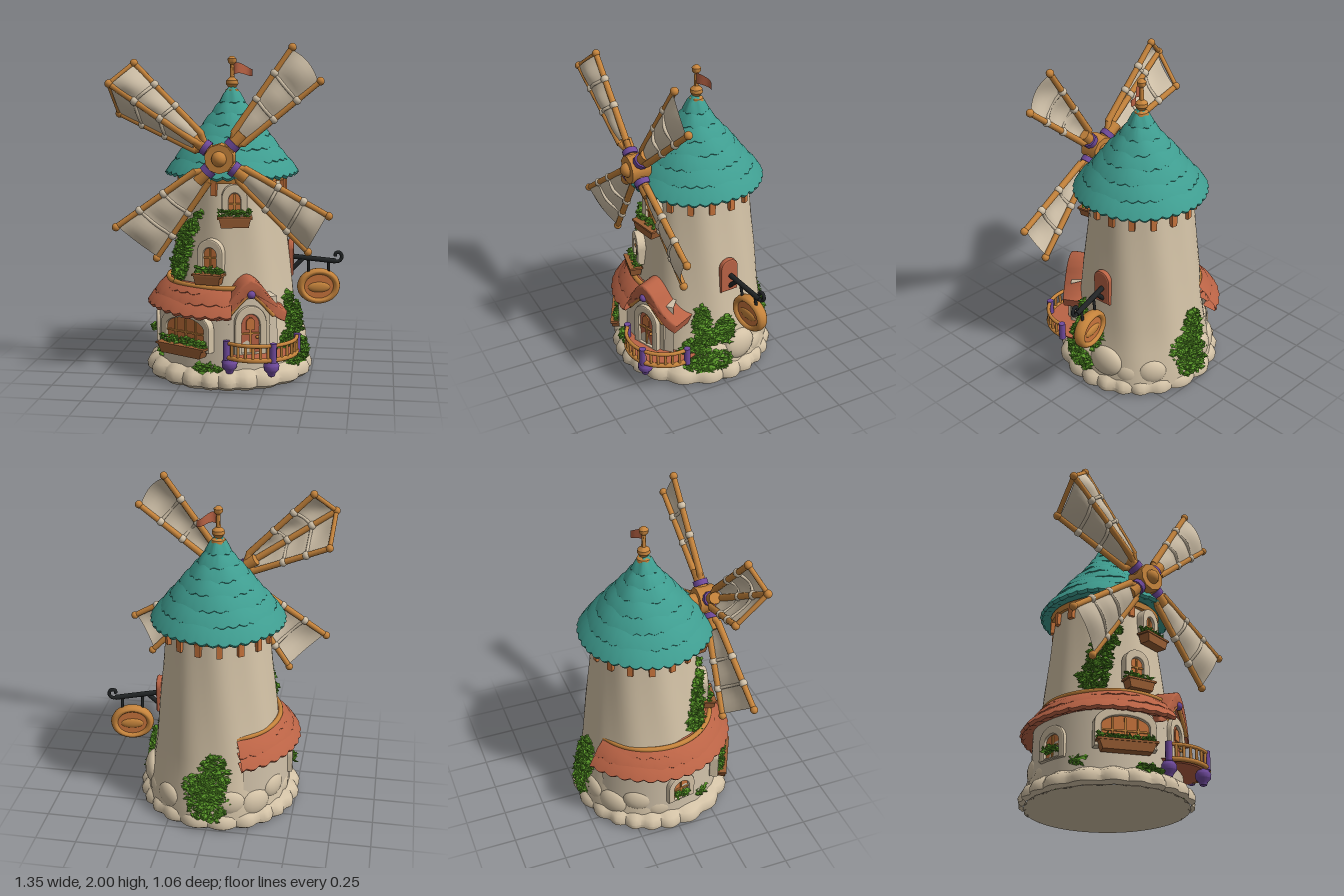
import * as THREE from 'three';
import { mergeGeometries, toCreasedNormals } from 'three/addons/utils/BufferGeometryUtils.js';

const V = (x, y, z) => new THREE.Vector3(x, y, z);
const RAD = Math.PI / 180;

export function createModel() {
  const root = new THREE.Group();
  root.name = 'windmill';
  const mat = (name, color, double) => {
    const m = new THREE.MeshStandardMaterial({ color });
    m.name = name;
    if (double) m.side = THREE.DoubleSide;
    return m;
  };
  const cream = mat('cream plaster', 0xd3c2a6), canvas = mat('canvas', 0xcfc0a8, true);
  const teal = mat('teal shingles', 0x3f9d90), rust = mat('rust tiles', 0xba6345, true);
  const wood = mat('wood', 0xc6843c), brown = mat('brown wood', 0x9c5f34);
  const purple = mat('purple paint', 0x6f4a9c), green = mat('leaves', 0x579427);
  const iron = mat('black iron', 0x202324), amber = mat('amber glass', 0xc8743c);

  let seed = 7;
  const rnd = () => (seed = (seed * 16807) % 2147483647) / 2147483647;

  const add = (name, geo, material, parent = root, x = 0, y = 0, z = 0) => {
    const m = new THREE.Mesh(geo, material);
    m.name = name;
    m.position.set(x, y, z);
    parent.add(m);
    return m;
  };
  const rod = (name, a, b, r, material, parent = root, r2 = r) => {
    const d = b.clone().sub(a);
    const m = add(name, new THREE.CylinderGeometry(r2, r, d.length(), 10), material, parent);
    m.position.copy(a).addScaledVector(d, 0.5);
    m.quaternion.setFromUnitVectors(V(0, 1, 0), d.normalize());
    return m;
  };
  const ball = (name, p, r, material, parent = root) =>
    add(name, new THREE.SphereGeometry(r, 14, 10), material, parent, p.x, p.y, p.z);
  const tube = (name, pts, r, material, parent = root) =>
    add(name, new THREE.TubeGeometry(new THREE.CatmullRomCurve3(pts), 50, r, 8), material, parent);
  // group on the tower wall, with local +z pointing outwards
  const onWall = (name, deg, r, y) => {
    const g = new THREE.Group(), t = deg * RAD;
    g.name = name;
    g.position.set(Math.sin(t) * r, y, -0.05 + Math.cos(t) * r);
    g.rotation.y = t;
    root.add(g);
    return g;
  };
  // lathe whose vertices are moved by rule(theta, r, y) -> [r, y]
  const lathe = (pts, segs, rule, from = 0, len = 360, crease = 0.7) => {
    const g = new THREE.LatheGeometry(pts.map(p => new THREE.Vector2(...p)), segs, from * RAD, len * RAD);
    const p = g.attributes.position;
    if (rule) for (let i = 0; i < p.count; i++) {
      const x = p.getX(i), z = p.getZ(i), t = Math.atan2(x, z);
      const [r, y] = rule(t, Math.hypot(x, z), p.getY(i));
      p.setXYZ(i, Math.sin(t) * r, y, Math.cos(t) * r);
    }
    return toCreasedNormals(g, crease);
  };

  // tower wall
  const wall = [[0.45, 0.05], [0.44, 0.14], [0.408, 0.28], [0.385, 0.44], [0.36, 0.7], [0.33, 0.95], [0.305, 1.22]];
  const wallR = y => {
    for (let i = 1; i < wall.length; i++) if (y < wall[i][1]) {
      const [r0, y0] = wall[i - 1], [r1, y1] = wall[i];
      return r0 + (r1 - r0) * Math.max(0, (y - y0) / (y1 - y0));
    }
    return 0.305;
  };
  add('tower', lathe([...wall, [0, 1.22]], 64, (t, r, y) => [r + 0.004 * Math.sin(9 * t + 3 * y), y]), cream, root, 0, 0, -0.05);

  // lumpy stone footing, flat underside and boulders
  add('stoneFooting', lathe([[0.47, 0], [0.495, 0.02], [0.498, 0.05], [0.48, 0.085], [0.43, 0.115], [0, 0.115]], 120,
    (t, r, y) => [r > 0.4 ? r - 0.012 + 0.026 * Math.abs(Math.sin(11 * t + Math.sin(3 * t))) : r, y]), cream, root, -0.01, 0, -0.014);
  add('footingBase', new THREE.CircleGeometry(0.478, 60).rotateX(Math.PI / 2), cream, root, -0.01, 0.001, -0.014);
  [[78, 0.16, 0.1], [102, 0.19, 0.11], [122, 0.13, 0.08], [143, 0.15, 0.09], [200, 0.17, 0.09], [222, 0.14, 0.1],
    [244, 0.2, 0.09], [264, 0.13, 0.09], [285, 0.17, 0.08], [305, 0.11, 0.08]].forEach(([a, y, r]) => {
    const b = add('boulder', new THREE.SphereGeometry(r, 16, 12), cream, onWall('boulders', a, 0.405, y));
    b.scale.set(1.05, 0.95, 0.55);
  });

  // tiles: overlapping rings with scalloped lower edges
  const tiles = (name, rows, count, material, from, len, z) => {
    for (let i = 0; i < rows.length - 1; i++) {
      const [r, y] = rows[i], [r2, y2] = rows[i + 1], n = Math.max(10, Math.round(count * r));
      const g = lathe([[Math.max(r2 - 0.03, 0.01), y + 0.004], [r - 0.008, y - 0.012], [r + 0.004, y + 0.004],
        [(r + r2) / 2 + 0.006, (y + y2) / 2 + 0.008], [Math.max(r2 - 0.01, 0.01), y2 + 0.012]], n * 6,
      (t, q, h) => {
        const edge = q > r - 0.01 ? Math.abs(Math.sin((t * n) / 2 + i)) : 0;
        return [q + 0.009 * edge, h - 0.012 * edge + 0.004 * Math.sin(5 * t + i * 2)];
      }, from, len, 0.8);
      add(name, g, material, root, 0, 0, z);
    }
  };
  tiles('roofTiles', [[0.395, 1.235], [0.335, 1.315], [0.278, 1.385], [0.222, 1.455], [0.168, 1.52], [0.115, 1.585], [0.07, 1.65], [0.025, 1.73]],
    95, teal, 0, 360, -0.04);
  add('eavesRing', new THREE.CylinderGeometry(0.335, 0.33, 0.035, 48), wood, root, 0, 1.205, -0.05);
  for (let i = 0; i < 16; i++)
    add('eavesBracket', new THREE.BoxGeometry(0.035, 0.08, 0.04), amber, onWall('eavesBrackets', i * 22.5 + 11, 0.315, 1.155));

  // finial and flag
  add('finial', lathe([[0.045, 1.69], [0.04, 1.72], [0.02, 1.73], [0.038, 1.755], [0.036, 1.775], [0.014, 1.795], [0.012, 1.87],
    [0.026, 1.885], [0.027, 1.905], [0.012, 1.92], [0, 1.922]], 20), wood, root, 0, 0, -0.045);
  const flagGeo = new THREE.PlaneGeometry(1, 1, 10, 2), fp = flagGeo.attributes.position;
  for (let i = 0; i < fp.count; i++) {
    const u = fp.getX(i) + 0.5;
    fp.setXYZ(i, u * 0.12, 1.842 + fp.getY(i) * 0.075 * (1 - 0.45 * u) + 0.01 * Math.sin(u * 5) - 0.012 * u * u, -0.045 + 0.016 * Math.sin(u * 6) - 0.03 * u);
  }
  flagGeo.computeVertexNormals();
  add('flag', flagGeo, rust);

  // ground-floor bay with its skirt roof
  add('bayWall', lathe([[0.445, 0.06], [0.435, 0.3], [0.43, 0.53], [0.3, 0.56]], 60, null, -152, 200), canvas, root, -0.01, 0, -0.02);
  tiles('skirtTiles', [[0.505, 0.445], [0.46, 0.5], [0.42, 0.55], [0.37, 0.585]], 75, rust, -155, 163, -0.02);
  const trim = [];
  for (let a = -155; a <= 34; a += 13.5) trim.push(V(Math.sin(a * RAD) * 0.385, 0.585, -0.02 + Math.cos(a * RAD) * 0.385));
  tube('skirtTrim', trim, 0.016, wood);

  // arched openings
  const arch = (w, h, top, S = THREE.Shape) => {
    const s = new S();
    s.moveTo(-w / 2, 0);
    s.lineTo(w / 2, 0);
    s.lineTo(w / 2, h - top);
    s.absellipse(0, h - top, w / 2, top, 0, Math.PI, false, 0);
    s.lineTo(-w / 2, 0);
    return s;
  };
  const extrude = (shape, depth, bevel = 0) => new THREE.ExtrudeGeometry(shape, {
    depth, curveSegments: 14, bevelEnabled: bevel > 0, bevelSize: bevel, bevelThickness: bevel, bevelSegments: 2 });
  const opening = (g, w, h, top, pane, bars) => {
    const s = arch(w + 0.05, h + 0.035, top + 0.025);
    s.holes.push(arch(w, h, top, THREE.Path));
    add('frame', extrude(s, 0.04, 0.008), cream, g, 0, 0, -0.02);
    add('pane', extrude(arch(w, h, top), 0.008), pane, g, 0, 0, 0.002);
    for (let i = 1; i <= bars; i++)
      add('mullion', new THREE.BoxGeometry(0.01, h * 0.9, 0.014), wood, g, -w / 2 + (w * i) / (bars + 1), h * 0.45, 0.012);
    add('crossBar', new THREE.BoxGeometry(w, 0.01, 0.014), wood, g, 0, h * 0.5, 0.012);
  };
  // leaves scattered by where()
  const leaves = (name, parent, count, where, size) => {
    const list = [];
    for (let i = 0; i < count; i++) {
      const g = new THREE.OctahedronGeometry(size * (0.6 + 0.6 * rnd()));
      g.scale(1, 0.35, 0.7).rotateX(rnd() * 6).rotateY(rnd() * 6);
      const p = where();
      list.push(g.translate(p.x, p.y, p.z));
    }
    return add(name, mergeGeometries(list), green, parent);
  };
  const planter = (g, w, y) => {
    const box = new THREE.CylinderGeometry(0.7071, 0.6, 1, 4, 1).rotateY(Math.PI / 4);
    add('planter', toCreasedNormals(box, 0.3), brown, g, 0, y, 0.04).scale.set(w, 0.06, 0.075);
    add('planterRim', new THREE.BoxGeometry(w + 0.015, 0.012, 0.082), brown, g, 0, y + 0.026, 0.04);
  };
  [['upperWindow', 10, 0.33, 1.0, 0.085, 0.145, 0.05, 1, 0.19, -0.03], ['middleWindow', -12, 0.368, 0.69, 0.095, 0.135, 0.05, 1, 0.17, -0.055],
    ['bayWindow', -27, 0.465, 0.225, 0.29, 0.19, 0.07, 3, 0.33, -0.005], ['sideWindow', -80, 0.44, 0.2, 0.12, 0.15, 0.06, 1, 0.1, 0]]
    .forEach(([name, a, r, y, w, h, top, bars, pw, py]) => {
      const g = onWall(name, a, r, y);
      opening(g, w, h, top, amber, bars);
      if (py) planter(g, pw, py);
      leaves('windowLeaves', g, Math.round(pw * 420), () => V((rnd() - 0.5) * pw, py + 0.03 + rnd() * 0.04, 0.01 + rnd() * 0.045), 0.02);
    });

  // porch with curved gable and door
  const porch = onWall('porch', 21, 0, 0);
  const hood = new THREE.Shape();
  hood.moveTo(-0.2, 0.47);
  hood.bezierCurveTo(-0.1, 0.485, -0.08, 0.63, 0, 0.645);
  hood.bezierCurveTo(0.08, 0.63, 0.11, 0.5, 0.22, 0.44);
  hood.lineTo(0.21, 0.4);
  hood.bezierCurveTo(0.11, 0.44, 0.07, 0.56, 0, 0.585);
  hood.bezierCurveTo(-0.07, 0.56, -0.1, 0.44, -0.19, 0.425);
  // the hood leans back towards its ridge and pulls in at the sides
  const hoodGeo = extrude(hood, 0.19, 0.01), hp = hoodGeo.attributes.position;
  for (let i = 0; i < hp.count; i++) {
    const x = hp.getX(i), front = Math.max(0, hp.getZ(i)) / 0.2;
    hp.setZ(i, hp.getZ(i) - 0.9 * x * x * front);
    hp.setY(i, hp.getY(i) - 0.02 * front + 0.012);
  }
  add('porchRoof', toCreasedNormals(hoodGeo, 0.8), rust, porch, 0, 0, 0.29);
  add('porchWall', extrude(arch(0.25, 0.45, 0.2), 0.15), cream, porch, 0, 0.12, 0.295);
  [-1, 1].forEach(s =>
    tube('gableBoard', [V(s * 0.14, 0.425, 0.465), V(s * 0.075, 0.5, 0.472), V(0, 0.572, 0.478)], 0.012, wood, porch));
  ball('gableBoss', V(0, 0.562, 0.483), 0.025, purple, porch);
  const door = onWall('door', 21, 0.45, 0.205);
  opening(door, 0.125, 0.245, 0.075, rust, 1);
  add('doorLight', extrude(arch(0.05, 0.07, 0.025), 0.008), amber, door, 0, 0.145, 0.014);
  ball('doorKnob', V(0.04, 0.1, 0.02), 0.01, wood, door);

  // balcony
  const balcony = new THREE.Group();
  balcony.name = 'balcony';
  balcony.position.set(0.19, 0, 0.27);
  root.add(balcony);
  add('deck', new THREE.CylinderGeometry(0.235, 0.22, 0.022, 40), rust, balcony, 0, 0.195, 0);
  const ringAt = (t, y) => V(Math.sin(t * RAD) * 0.24, y, Math.cos(t * RAD) * 0.24);
  [['lowerRail', 0.2, 0.015], ['handRail', 0.285, 0.012]].forEach(([name, y, r]) =>
    tube(name, [-40, -18, 5, 28, 51, 75, 98].map(t => ringAt(t, y)), r, wood, balcony));
  for (let t = -30; t <= 92; t += 10.5) rod('baluster', ringAt(t, 0.2), ringAt(t, 0.28), 0.009, wood, balcony);
  [-40, 30, 98].forEach((t, i) => {
    rod('balconyPost', ringAt(t, 0.185), ringAt(t, 0.298), 0.021, purple, balcony);
    if (i < 2) {
      const p = ringAt(t, 0).multiplyScalar(0.9);
      add('balconyCorbel', lathe([[0, 0.09], [0.02, 0.1], [0.024, 0.115], [0.044, 0.138], [0.046, 0.165], [0.03, 0.19]], 16), purple, balcony, p.x, 0, p.z);
    }
  });

  // ivy patches: angle, height, angular half-width, half-height, leaf count, extra radius
  [[-51, 0.68, 13, 0.1, 210, 0.01], [-45, 0.82, 11, 0.12, 200, 0.01], [-36, 0.92, 8, 0.05, 60, 0.01], [-28, 1.0, 4, 0.025, 20, 0.01],
    [62, 0.19, 13, 0.11, 280, 0.01], [67, 0.4, 7, 0.12, 180, 0.01], [75, 0.31, 9, 0.06, 120, 0.01], [88, 0.34, 9, 0.09, 180, 0.005],
    [78, 0.15, 13, 0.07, 190, 0.015], [181, 0.18, 17, 0.11, 340, -0.002], [186, 0.36, 13, 0.14, 280, 0], [172, 0.27, 12, 0.1, 160, 0],
    [-10, 0.12, 9, 0.025, 60, 0.04], [-60, 0.16, 7, 0.03, 30, 0.015]].forEach(([a, y, da, dy, n, out]) =>
    leaves('ivy', root, n, () => {
      const q = Math.sqrt(rnd()), f = rnd() * 6.283, h = y + q * Math.sin(f) * dy;
      const t = (a + q * Math.cos(f) * da) * RAD, r = wallR(h) + out + (rnd() - 0.35) * 0.03;
      return V(Math.sin(t) * r, h, -0.05 + Math.cos(t) * r);
    }, 0.026));

  // hanging sign on the left wall
  const plaque = onWall('signPlaque', 94, 0.355, 0.6);
  add('plaque', extrude(arch(0.1, 0.2, 0.05), 0.015, 0.01), rust, plaque);
  const sign = new THREE.Group();
  sign.name = 'hangingSign';
  sign.position.set(0.36, 0, -0.08);
  sign.rotation.y = 11 * RAD;
  root.add(sign);
  rod('signArm', V(0, 0.7, 0), V(0.28, 0.665, 0), 0.016, iron, sign);
  rod('signBrace', V(0, 0.61, 0), V(0.08, 0.69, 0), 0.014, iron, sign);
  tube('signScroll', [[0.26, 0.667], [0.3, 0.665], [0.318, 0.69], [0.305, 0.718], [0.28, 0.715], [0.277, 0.695]].map(([x, y]) => V(x, y, 0)), 0.011, iron, sign);
  [0.11, 0.235].forEach(x => rod('signHanger', V(x, 0.68, 0), V(x + 0.005, 0.58, -0.015), 0.009, iron, sign));
  const board = new THREE.Group();
  board.name = 'signBoard';
  board.position.set(0.178, 0.505, -0.02);
  board.scale.set(1.2, 1, 1);
  sign.add(board);
  add('signRim', new THREE.TorusGeometry(0.092, 0.02, 10, 36), wood, board).scale.z = 1.8;
  add('signFace', new THREE.CylinderGeometry(0.09, 0.09, 0.036, 36).rotateX(Math.PI / 2), amber, board);
  [-1, 1].forEach(s =>
    add('signRelief', new THREE.SphereGeometry(0.06, 18, 12), wood, board, 0, -0.005, s * 0.015).scale.set(1, 0.55, 0.25));

  // sail hub and axle
  const hub = V(-0.015, 1.345, 0.345);
  rod('axle', V(hub.x, hub.y, 0.1), hub, 0.05, wood);
  rod('hubBody', V(hub.x, hub.y, 0.28), V(hub.x, hub.y, 0.4), 0.085, wood);
  ball('hubNose', V(hub.x, hub.y, 0.395), 0.045, wood);

  // billowing canvas stretched between two spars
  const sail = (a, b, flare) => {
    const g = new THREE.PlaneGeometry(1, 1, 10, 16), p = g.attributes.position;
    for (let i = 0; i < p.count; i++) {
      const u = p.getX(i) + 0.5, v = p.getY(i) + 0.5, bow = Math.sin(Math.PI * u);
      const t = 0.03 + v * (0.95 + flare * bow);
      const q = a(t).lerp(b(t), u);
      q.z += 0.006 + 0.03 * bow * (0.4 + 0.6 * Math.abs(Math.sin(v * 3 * Math.PI))) * (0.4 + v);
      p.setXYZ(i, q.x, q.y, q.z);
    }
    g.computeVertexNormals();
    add('sailCanvas', g, canvas);
  };
  [[0.05, V(0.39, 1.975, 0.29), V(0.55, 1.785, 0.29)],
    [0, V(-0.51, 1.885, 0.36), V(-0.645, 1.77, 0.42), V(-0.625, 1.59, 0.25)],
    [0, V(-0.62, 0.94, 0.405), V(-0.4, 0.745, 0.31)],
    [0, V(0.61, 1.02, 0.33), V(0.49, 0.8, 0.29)]].forEach(([flare, ...tips]) => {
    const mid = tips[0].clone().lerp(tips[tips.length - 1], 0.5), dir = mid.clone().sub(hub).normalize();
    const along = d => hub.clone().addScaledVector(dir, d);
    rod('sailArm', hub, along(0.19), 0.036, wood);
    rod('sailCollar', along(0.085), along(0.12), 0.047, purple);
    // each spar as a function of distance, 0 at the arm and 1 at the tip
    const spars = tips.map(tip => {
      const start = along(0.15).addScaledVector(tip.clone().sub(mid), 0.33);
      return t => start.clone().lerp(tip, t);
    });
    spars.forEach((s, i) => {
      rod('sailYoke', along(0.1), s(0.02), 0.02, wood);
      rod('sailSpar', s(0), s(1.02), 0.021, wood, root, 0.017);
      ball('sparEnd', s(1), 0.024, wood);
      [0.4, 0.7].forEach(t => ball('sailKnot', s(t), 0.026, canvas));
      if (!i) return;
      const prev = spars[i - 1];
      sail(prev, s, flare);
      [0.4, 0.7].forEach(t => {
        const centre = prev(t).lerp(s(t), 0.5);
        centre.z += 0.03;
        tube('sailBatten', [prev(t), centre, s(t)], 0.01, canvas);
      });
      if (tips.length > 2) rod('sailEndBar', prev(1), s(1), 0.014, wood);
    });
  });
  return root;
}
